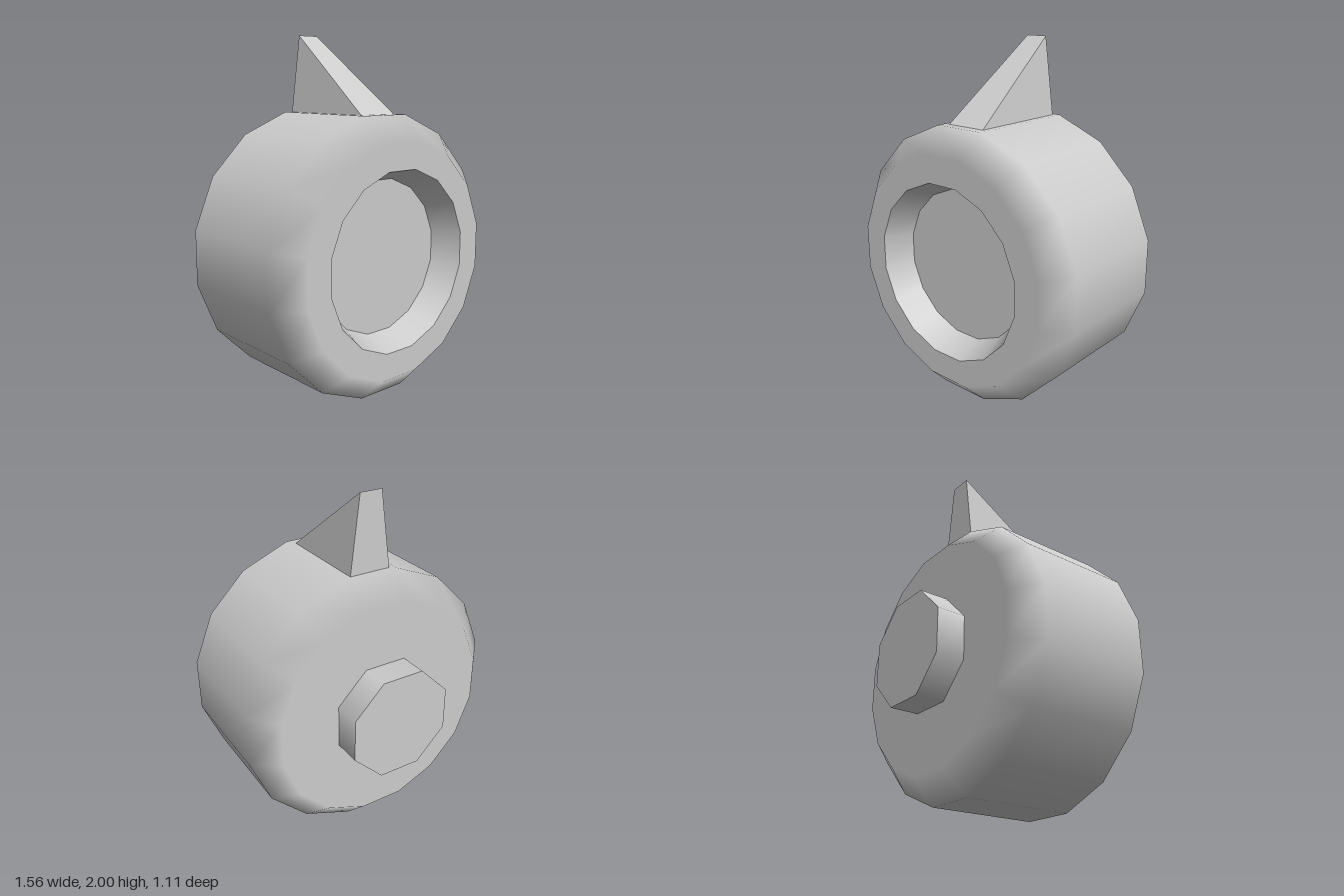
import * as THREE from 'three';

const grey = new THREE.MeshStandardMaterial({ color: 0xcccccc });
grey.name = 'plain grey';

// Turned part along z with flat sides up, down, left and right.
// Each profile row is [apothem, z, radial normal, z normal], from back to front.
function turned(name, sides, profile) {
  const widen = 1 / Math.cos(Math.PI / sides);
  const points = profile.map(([r, z]) => new THREE.Vector2(r * widen, z));
  const geometry = new THREE.LatheGeometry(points, sides, Math.PI / sides);
  const normal = geometry.attributes.normal;
  for (let i = 0; i <= sides; i++) {
    const phi = Math.PI / sides + (i / sides) * Math.PI * 2;
    profile.forEach(([, , nr, nz], j) => {
      normal.setXYZ(i * profile.length + j, nr * Math.sin(phi), nz, nr * Math.cos(phi));
    });
  }
  geometry.rotateX(Math.PI / 2);
  const mesh = new THREE.Mesh(geometry, grey);
  mesh.name = name;
  mesh.position.y = 0.78;
  return mesh;
}

// Wedge with an upright back, a sloping front and a narrow top edge
function wedge(name, baseHalf, topHalf, y0, y1, zBack, zFront) {
  const corners = [
    -baseHalf, y0, zFront, baseHalf, y0, zFront,
    baseHalf, y0, zBack, -baseHalf, y0, zBack,
    topHalf, y1, zBack, -topHalf, y1, zBack,
  ];
  const indexed = new THREE.BufferGeometry();
  indexed.setAttribute('position', new THREE.Float32BufferAttribute(corners, 3));
  indexed.setIndex([
    0, 1, 4, 0, 4, 5, // sloping front
    1, 2, 4, 3, 0, 5, // sides
    2, 3, 5, 2, 5, 4, // back
    0, 3, 2, 0, 2, 1, // underside
  ]);
  const geometry = indexed.toNonIndexed();
  geometry.computeVertexNormals();
  const mesh = new THREE.Mesh(geometry, grey);
  mesh.name = name;
  return mesh;
}

export function createModel() {
  const model = new THREE.Group();
  model.name = 'roundDial';

  // Bevelled drum with a tapered recess in its front
  model.add(turned('drum', 16, [
    [0, -0.39, 0, -1],
    [0.645, -0.39, 0, -1],
    [0.78, -0.25, 1, 0],
    [0.78, 0.42, 1, 0],
    [0.645, 0.555, 0, 1],
    [0.495, 0.555, 0, 1],
    [0.495, 0.555, -0.93, 0.36],
    [0.43, 0.39, -0.93, 0.36],
    [0.43, 0.39, 0, 1],
    [0, 0.39, 0, 1],
  ]));

  // Eight-sided stub on the back
  model.add(turned('backStub', 8, [
    [0, -0.555, 0, -1],
    [0.3, -0.555, 0, -1],
    [0.3, -0.555, 1, 0],
    [0.3, -0.385, 1, 0],
  ]));

  // Fin on top
  model.add(wedge('topFin', 0.123, 0.066, 1.56, 2, -0.225, 0.367));

  return model;
}
